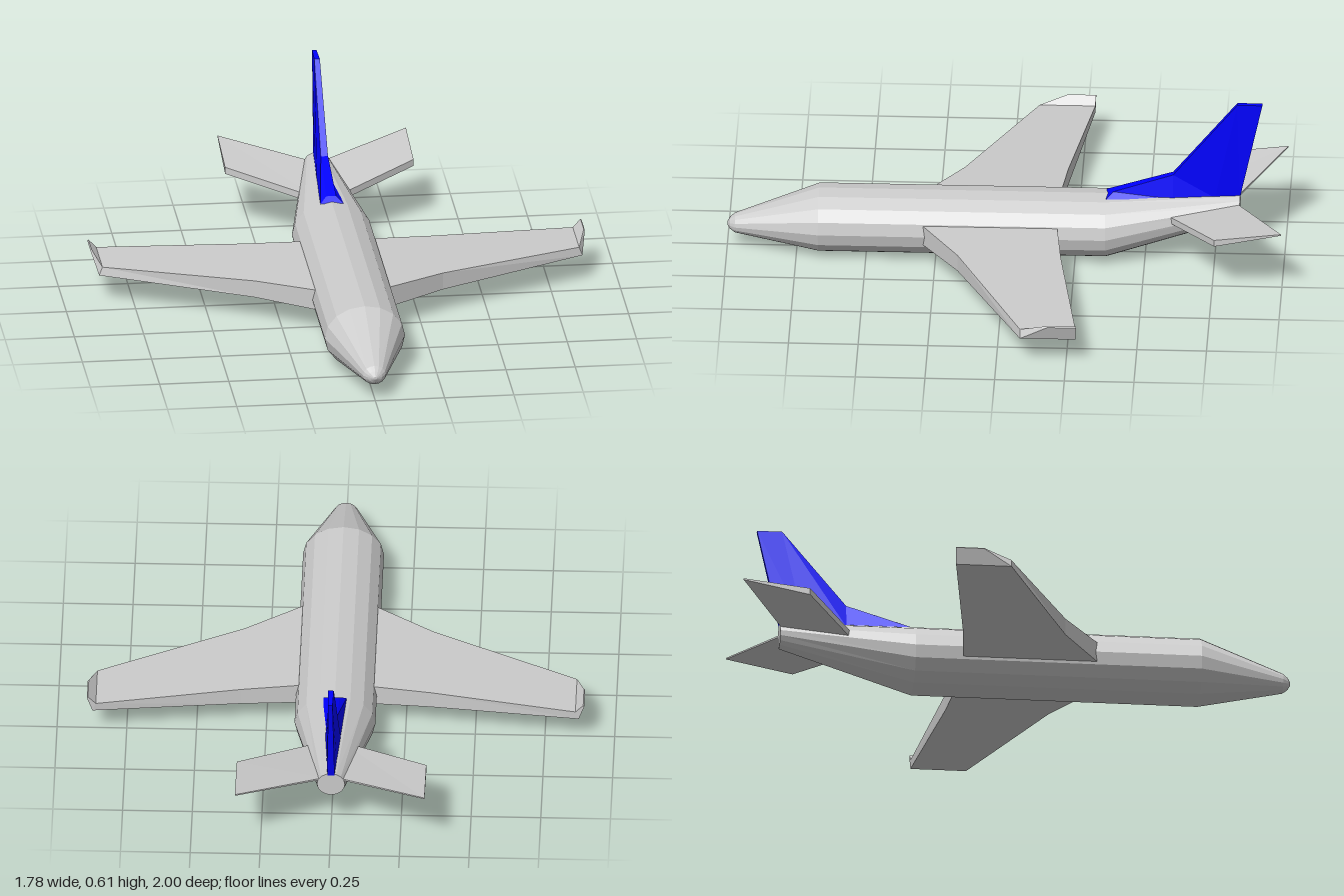
import * as THREE from 'three';

const grey = new THREE.MeshStandardMaterial({ color: 0xcccccc, flatShading: true });
const blue = new THREE.MeshStandardMaterial({ color: 0x0000ff, flatShading: true });

// Closed solid through a row of equal-sized rings, capped at both ends
function loft(name, rings, material) {
  const pos = [];
  const tri = (a, b, c) => pos.push(...a, ...b, ...c);
  const n = rings[0].length;
  for (let r = 0; r < rings.length - 1; r++) {
    const a = rings[r], b = rings[r + 1];
    for (let i = 0; i < n; i++) {
      const j = (i + 1) % n;
      tri(a[i], a[j], b[j]);
      tri(a[i], b[j], b[i]);
    }
  }
  const first = rings[0], last = rings[rings.length - 1];
  for (let i = 1; i < n - 1; i++) {
    tri(first[0], first[i + 1], first[i]);
    tri(last[0], last[i], last[i + 1]);
  }
  const geo = new THREE.BufferGeometry();
  geo.setAttribute('position', new THREE.Float32BufferAttribute(pos, 3));
  geo.computeVertexNormals();
  const mesh = new THREE.Mesh(geo, material);
  mesh.name = name;
  return mesh;
}

// Mirrored in x; reversing the ring order keeps the faces outward
const mirror = rings => rings.map(r => r.map(([x, y, z]) => [-x, y, z])).reverse();

// Elliptical fuselage section
function oval([z, y, rx, ry], sides = 16) {
  return Array.from({ length: sides }, (_, i) => {
    const a = (i / sides) * Math.PI * 2;
    return [rx * Math.cos(a), y + ry * Math.sin(a), z];
  });
}

export function createModel() {
  const plane = new THREE.Group();
  plane.name = 'airplane';

  // Fuselage sections from tail to nose: z, centre y, half width, half height
  const sections = [
    [-0.84, 0.202, 0.05, 0.047],
    [-0.36, 0.122, 0.145, 0.118],
    [0.67, 0.122, 0.145, 0.118],
    [0.972, 0.092, 0.041, 0.035],
    [0.99, 0.091, 0.026, 0.022],
    [1.0, 0.09, 0.006, 0.005],
  ];
  plane.add(loft('fuselage', sections.map(s => oval(s)), grey));

  // Wing stations: x top, x bottom, y top, y bottom, z front, z back
  const wing = [
    [0.06, 0.06, 0.165, 0.085, 0.34, -0.18],
    [0.14, 0.14, 0.162, 0.087, 0.29, -0.19],
    [0.34, 0.34, 0.155, 0.092, 0.16, -0.21],
    [0.86, 0.872, 0.136, 0.105, -0.085, -0.285],
  ].map(([xt, xb, yt, yb, zf, zb]) => [[xb, yb, zb], [xt, yt, zb], [xt, yt, zf], [xb, yb, zf]]);
  // Upturned wing tip
  wing.push([[0.892, 0.162, -0.287], [0.888, 0.166, -0.287], [0.888, 0.166, -0.185], [0.892, 0.162, -0.185]]);
  plane.add(loft('leftWing', wing, grey), loft('rightWing', mirror(wing), grey));

  // Tailplanes, thick at the leading edge and thin at the trailing edge
  const tailplane = [
    [[0.03, 0.215, -0.83], [0.03, 0.222, -0.83], [0.03, 0.183, -0.555], [0.03, 0.158, -0.555]],
    [[0.34, 0.26, -1.0], [0.34, 0.265, -1.0], [0.34, 0.236, -0.76], [0.34, 0.211, -0.76]],
  ];
  plane.add(loft('leftTailplane', tailplane, grey), loft('rightTailplane', mirror(tailplane), grey));

  // Fin stations, front to back: base z, y, half width, then top z, y, half width
  const fin = [
    [-0.36, 0.235, 0.042, -0.385, 0.255, 0.018],
    [-0.6, 0.235, 0.028, -0.6, 0.325, 0.013],
    [-0.75, 0.238, 0.018, -0.83, 0.61, 0.01],
    [-0.84, 0.24, 0.013, -0.92, 0.61, 0.008],
  ].map(([zb, yb, wb, zt, yt, wt]) => [[wb, yb, zb], [-wb, yb, zb], [-wt, yt, zt], [wt, yt, zt]]);
  plane.add(loft('tailFin', fin, blue));

  return plane;
}
